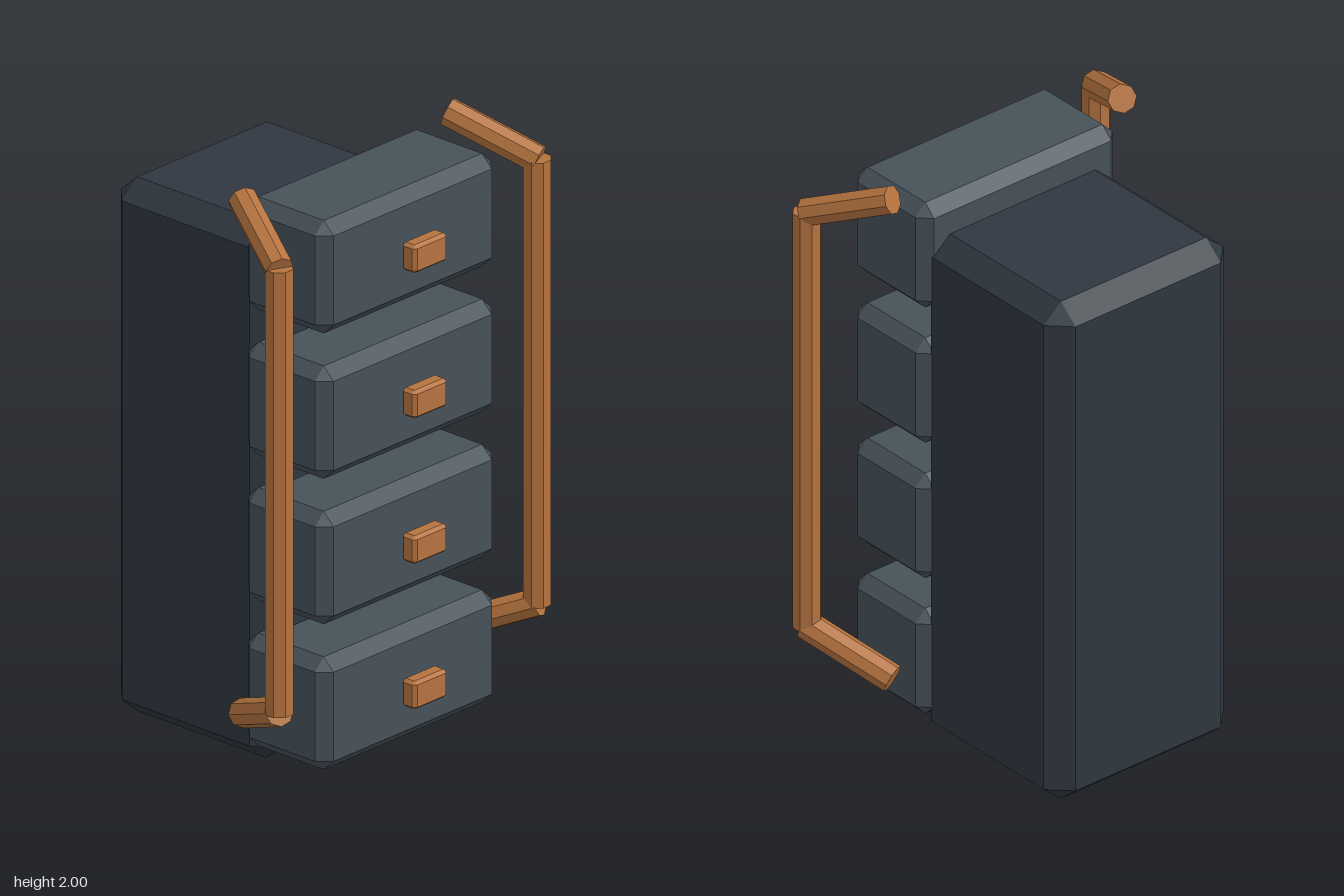
import * as THREE from 'three';
import { ConvexGeometry } from 'three/addons/geometries/ConvexGeometry.js';

const material = (color) => new THREE.MeshStandardMaterial({ color, flatShading: true });

// Box with flat chamfers; c holds the chamfer depth along x, y and z
function chamferBox(size, c) {
  const points = [];
  for (const sx of [-1, 1]) for (const sy of [-1, 1]) for (const sz of [-1, 1]) {
    const signs = [sx, sy, sz];
    for (let face = 0; face < 3; face++) {
      const p = signs.map((s, i) => s * (size[i] / 2 - (i === face ? 0 : c[i])));
      points.push(new THREE.Vector3(...p));
    }
  }
  return new ConvexGeometry(points);
}

export function createModel() {
  const group = new THREE.Group();
  const bodyMat = material(0x2f3740);
  const drawerMat = material(0x465159);
  const woodMat = material(0xb5733f);

  const add = (parent, name, geometry, mat, x, y, z) => {
    const mesh = new THREE.Mesh(geometry, mat);
    mesh.name = name;
    mesh.position.set(x, y, z);
    parent.add(mesh);
    return mesh;
  };

  // Tall cabinet body
  add(group, 'cabinetBody', chamferBox([0.73, 1.8, 0.68], [0.07, 0.06, 0.07]), bodyMat, 0, 0.9, -0.18);

  // Four open drawers, each with a small pull
  const drawerGeo = chamferBox([0.8, 0.38, 0.36], [0.04, 0.04, 0.042]);
  const pullGeo = chamferBox([0.155, 0.095, 0.06], [0.012, 0.01, 0.012]);
  for (let i = 0; i < 4; i++) {
    const y = 0.26 + i * 0.49;
    const drawer = new THREE.Group();
    drawer.name = 'drawer' + (i + 1);
    add(drawer, 'drawerBox', drawerGeo, drawerMat, 0, y, 0.26);
    add(drawer, 'drawerPull', pullGeo, woodMat, 0, y, 0.49);
    group.add(drawer);
  }

  // Octagonal bar between two points
  const bar = (parent, name, a, b) => {
    const dir = b.clone().sub(a);
    const geo = new THREE.CylinderGeometry(0.047, 0.047, dir.length(), 8, 1, false, Math.PI / 8);
    const mid = a.clone().add(b).multiplyScalar(0.5);
    const mesh = add(parent, name, geo, woodMat, mid.x, mid.y, mid.z);
    mesh.quaternion.setFromUnitVectors(new THREE.Vector3(0, 1, 0), dir.normalize());
  };

  // Side rails: an upright with arms angled back at both ends
  for (const s of [1, -1]) {
    const rail = new THREE.Group();
    rail.name = s > 0 ? 'leftRail' : 'rightRail';
    bar(rail, 'railUpright', new THREE.Vector3(s * 0.587, 0.34, 0.42), new THREE.Vector3(s * 0.587, 1.84, 0.42));
    for (const v of [1, -1]) {
      bar(rail, v > 0 ? 'upperArm' : 'lowerArm',
        new THREE.Vector3(s * 0.59, 1.09 + v * 0.745, 0.425),
        new THREE.Vector3(s * 0.467, 1.09 + v * 0.867, 0.153));
    }
    group.add(rail);
  }
  return group;
}
